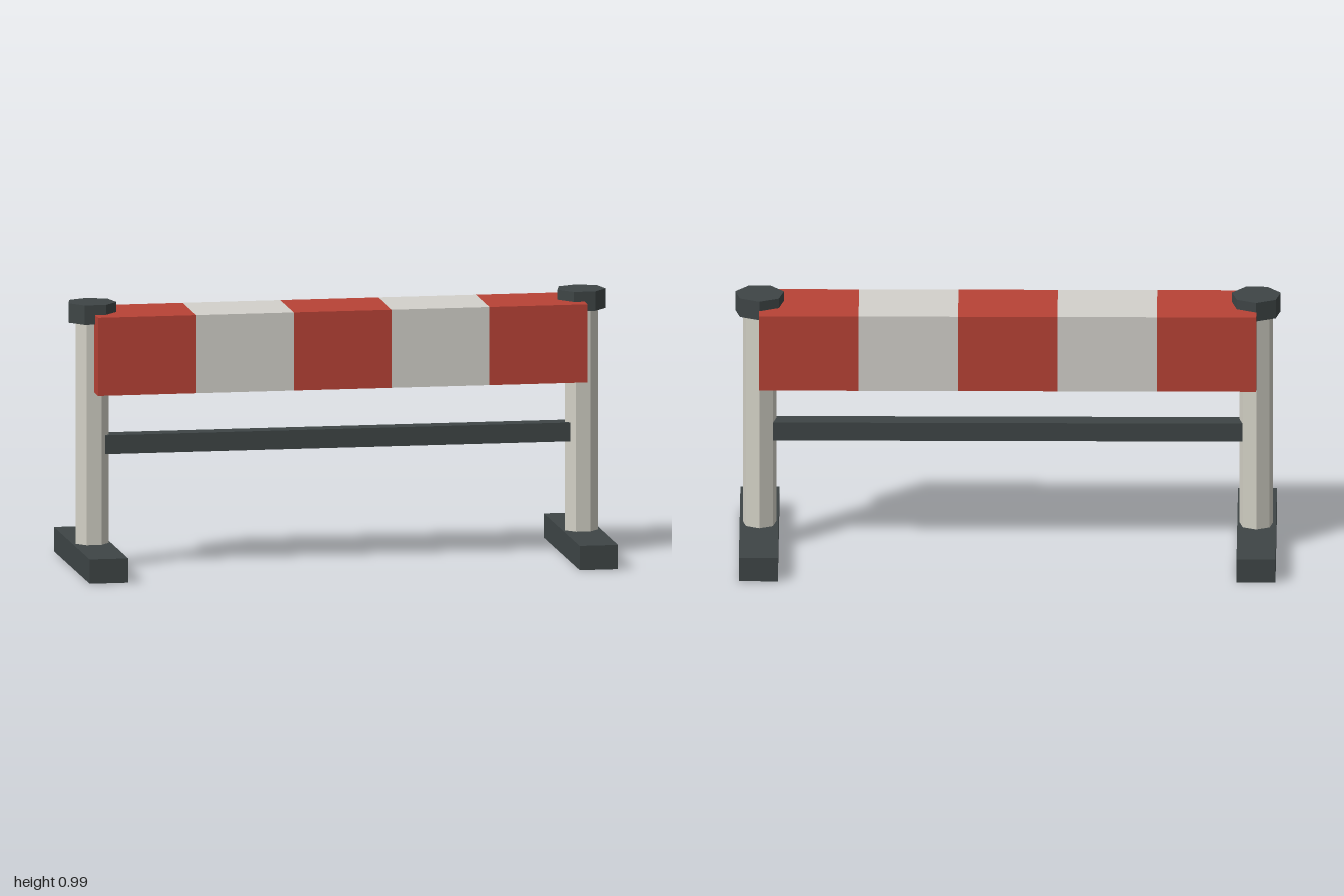
import * as THREE from 'three';

const material = (name, color) => {
  const m = new THREE.MeshStandardMaterial({ color });
  m.name = name;
  return m;
};

export function createModel() {
  const group = new THREE.Group();
  group.name = 'barrier';

  const red = material('red', 0xb84336);
  const white = material('white', 0xd3d1cb);
  const postGrey = material('post grey', 0xd2d0c5);
  const dark = material('dark rubber', 0x3e4546);

  const add = (name, geometry, mat, x, y, z = 0) => {
    const mesh = new THREE.Mesh(geometry, mat);
    mesh.name = name;
    mesh.position.set(x, y, z);
    group.add(mesh);
  };

  // Seven-sided prism with one corner pointing to the back
  const prism = (radius, height) =>
    new THREE.CylinderGeometry(radius, radius, height, 7).toNonIndexed().rotateY(Math.PI);
  const flatPrism = (radius, height) => {
    const g = prism(radius, height);
    g.computeVertexNormals();
    return g;
  };

  // Foot, post and cap at each end
  for (const [side, s] of [['left', 1], ['right', -1]]) {
    const x = s * 0.911;
    add(side + 'Foot', new THREE.BoxGeometry(0.143, 0.09, 0.764), dark, s * 0.9125, 0.045);
    add(side + 'Post', flatPrism(0.063, 0.908), postGrey, x, 0.459);
    add(side + 'Cap', flatPrism(0.0915, 0.072), dark, x, 0.949);
  }

  // Striped beam: one segment per colour band
  const band = 0.3646;
  for (let i = 0; i < 5; i++) {
    const isRed = i % 2 === 0;
    add(isRed ? 'redBand' : 'whiteBand', new THREE.BoxGeometry(band, 0.29, 0.29),
      isRed ? red : white, (i - 2) * band, 0.803);
  }

  // Lower cross rail between the posts
  add('crossRail', new THREE.BoxGeometry(1.732, 0.07, 0.07), dark, 0, 0.458);

  return group;
}
